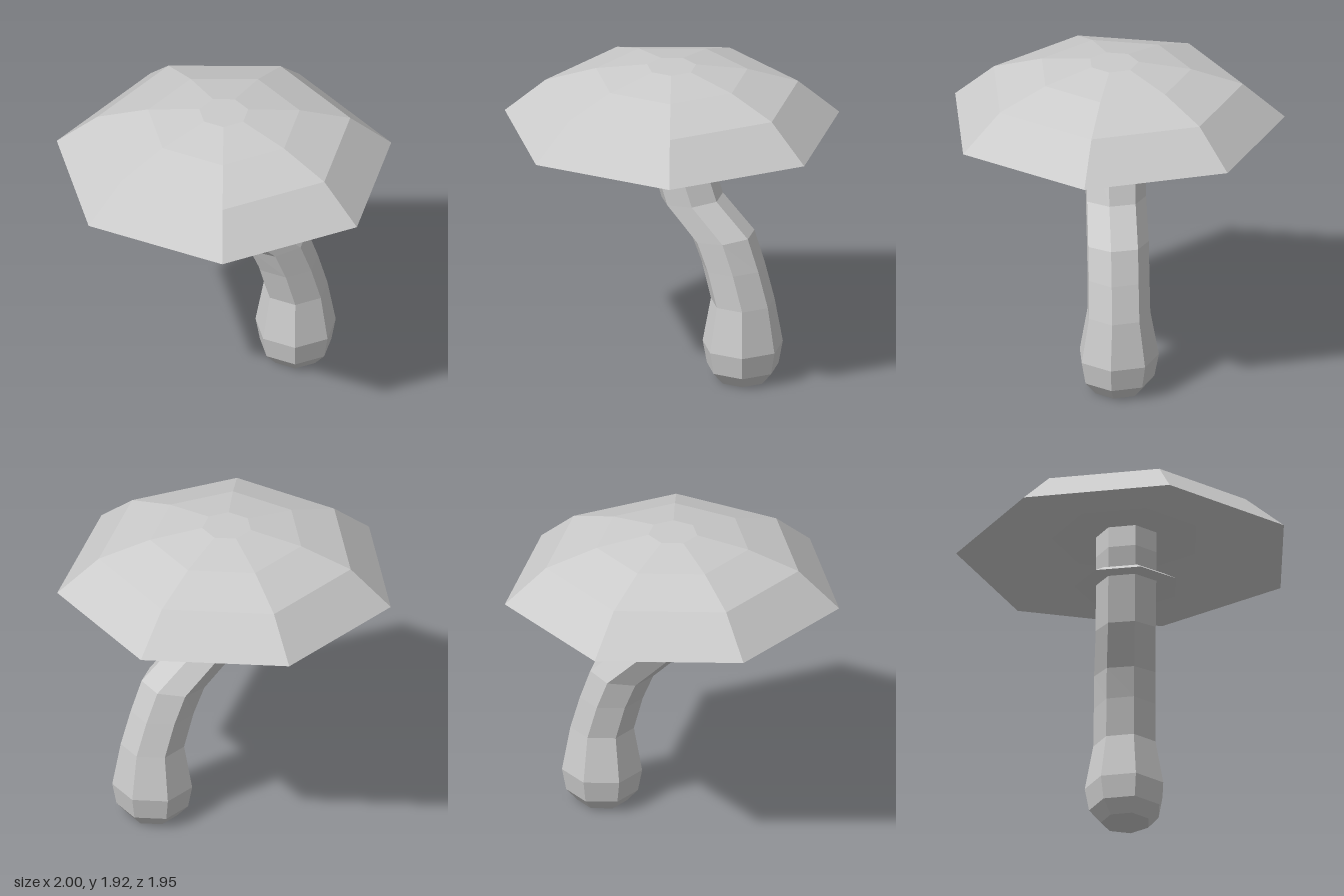
import * as THREE from 'three';

const SIDES = 7;
const CENTRE_Z = 0.045;

// Joins seven-sided rings [centreX, y, radius, tilt] from bottom to top.
// The tilt raises the ring towards +x; a radius of 0 closes the end.
function loft(name, rings, material) {
  const positions = [];
  const index = [];
  for (const [cx, y, r, tilt = 0] of rings) {
    for (let k = 0; k < SIDES; k++) {
      const a = (k / SIDES) * Math.PI * 2;
      const dx = r * Math.sin(a);
      positions.push(cx + dx, y + tilt * dx, CENTRE_Z - r * Math.cos(a));
    }
  }
  for (let i = 0; i < rings.length - 1; i++) {
    for (let k = 0; k < SIDES; k++) {
      const a = i * SIDES + k;
      const b = i * SIDES + (k + 1) % SIDES;
      if (rings[i + 1][2] > 0) index.push(a, a + SIDES, b + SIDES);
      if (rings[i][2] > 0) index.push(a, b + SIDES, b);
    }
  }
  const indexed = new THREE.BufferGeometry();
  indexed.setAttribute('position', new THREE.Float32BufferAttribute(positions, 3));
  indexed.setIndex(index);
  const geometry = indexed.toNonIndexed();
  geometry.computeVertexNormals();
  const mesh = new THREE.Mesh(geometry, material);
  mesh.name = name;
  return mesh;
}

export function createModel() {
  const group = new THREE.Group();
  group.name = 'mushroom';
  const material = new THREE.MeshStandardMaterial({ color: 0xcccccc, flatShading: true });

  // Cap: hollowed underside, sharp rim, then a faceted dome
  group.add(loft('cap', [
    [0, 1.66, 0],
    [0, 1.65, 0.45],
    [0, 1.545, 1.026],
    [0, 1.765, 0.775],
    [0, 1.87, 0.465],
    [0, 1.925, 0.15],
    [0, 1.925, 0],
  ], material));

  // Stem: bulbous foot and a bend towards the middle of the cap
  group.add(loft('stem', [
    [0.475, 0, 0],
    [0.475, 0, 0.15],
    [0.475, 0.08, 0.22],
    [0.475, 0.22, 0.246],
    [0.475, 0.5, 0.195],
    [0.413, 0.72, 0.193],
    [0.343, 0.903, 0.193, 0.09],
    [0.138, 1.107, 0.188, 0.09],
    [-0.005, 1.525, 0.19],
    [-0.005, 1.7, 0.19],
    [-0.005, 1.7, 0],
  ], material));

  // Collar: thin, slightly tilted skirt around the upper stem
  group.add(loft('collar', [
    [0.04, 1.365, 0, 0.03],
    [0.04, 1.365, 0.2, 0.03],
    [0.04, 1.355, 0.317, 0.03],
    [0.035, 1.398, 0.24, 0.03],
    [0.035, 1.4, 0, 0.03],
  ], material));

  return group;
}
